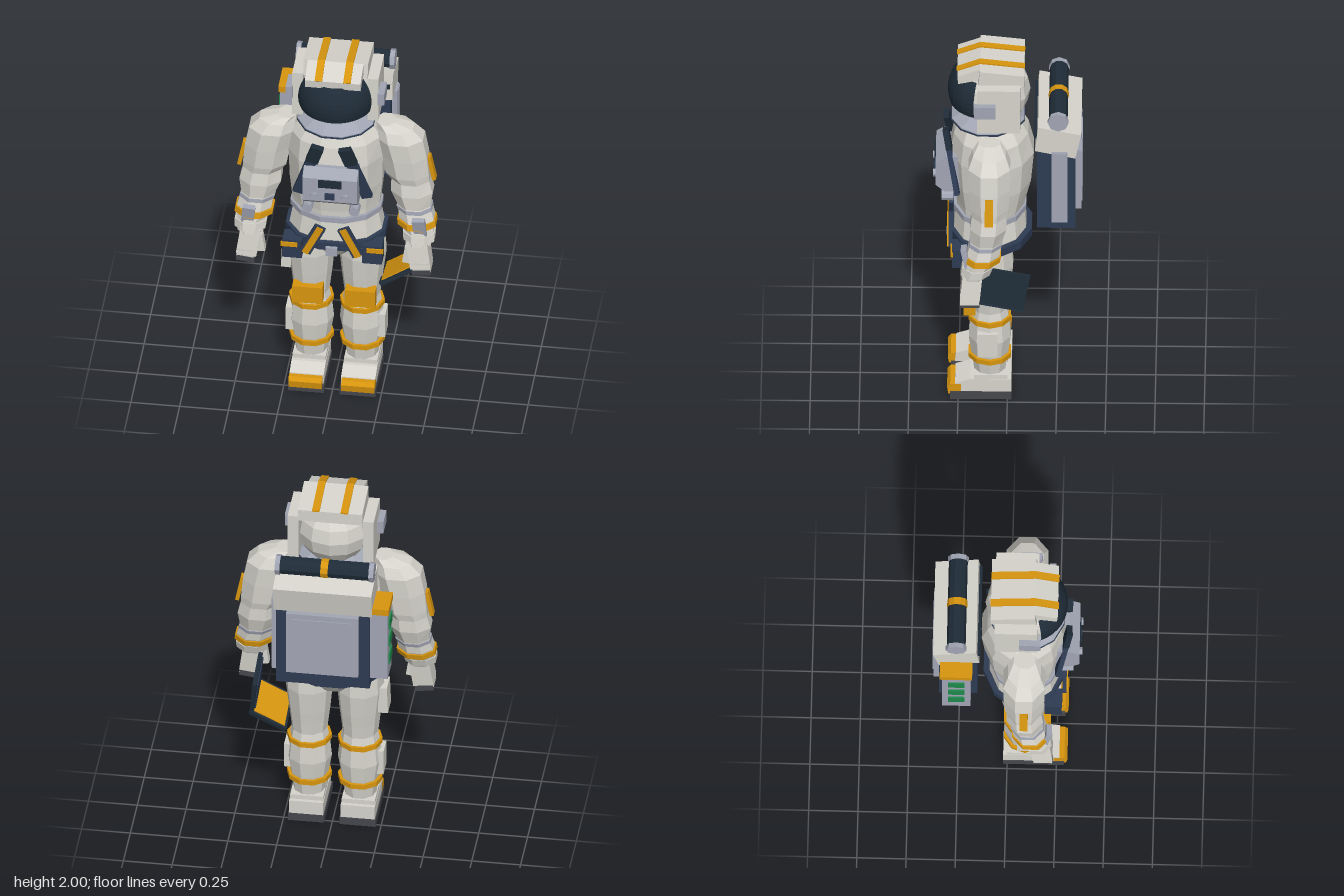
import * as THREE from 'three';

const mat = (name, color) => Object.assign(new THREE.MeshStandardMaterial({ color }), { name });

export function createModel() {
  const white = mat('suit white', 0xd6d4cc), gold = mat('gold', 0xd8960f);
  const navy = mat('navy', 0x2d3b53), dark = mat('dark glass', 0x1f2c38);
  const grey = mat('blue grey', 0xa2a6b4), sole = mat('sole grey', 0x45474c);
  const green = mat('green', 0x1f8a4c);
  const model = new THREE.Group();
  model.name = 'astronaut';

  const add = (name, geo, m, parent = model) => {
    const mesh = new THREE.Mesh(geo, m);
    mesh.name = name;
    parent.add(mesh);
    return mesh;
  };
  const flat = (geo) => {
    const g = geo.index ? geo.toNonIndexed() : geo;
    g.computeVertexNormals();
    return g;
  };
  const box = (name, m, [w, h, d], [x, y, z], [rx, ry, rz] = [0, 0, 0], parent = model) => {
    const b = add(name, new THREE.BoxGeometry(w, h, d), m, parent);
    b.position.set(x, y, z);
    b.rotation.set(rx, ry, rz);
    return b;
  };
  // Faceted body through sections [x, y, z, rx, rz], listed from bottom to top
  const loft = (name, m, sections, n = 10, s = 1) => {
    const pos = [], idx = [];
    sections.forEach(([x, y, z, rx, rz]) => {
      for (let j = 0; j < n; j++) {
        const a = ((j + 0.5) / n) * Math.PI * 2;
        pos.push(x * s + rx * Math.sin(a), y, z + rz * Math.cos(a));
      }
    });
    const top = sections.length - 1;
    for (const i of [0, top]) pos.push(sections[i][0] * s, sections[i][1], sections[i][2]);
    const c = n * sections.length;
    for (let j = 0; j < n; j++) {
      const k = (j + 1) % n;
      for (let i = 0; i < top; i++) {
        const a = i * n + j, b = i * n + k;
        idx.push(a, b, b + n, a, b + n, a + n);
      }
      idx.push(c, k, j, c + 1, top * n + j, top * n + k);
    }
    const g = new THREE.BufferGeometry();
    g.setAttribute('position', new THREE.Float32BufferAttribute(pos, 3));
    g.setIndex(idx);
    return add(name, flat(g), m);
  };
  // Side profile of [z, y] points, swept across x and centred on x
  const sweep = (name, m, pts, width, x = 0) => {
    const shape = new THREE.Shape(pts.map(([z, y]) => new THREE.Vector2(z, y)));
    const g = new THREE.ExtrudeGeometry(shape, { depth: width, bevelEnabled: false });
    g.rotateY(-Math.PI / 2).translate(x + width / 2, 0, 0);
    return add(name, g, m);
  };
  const rod = (name, m, r, len, [x, y, z], axis, n = 8) => {
    const g = new THREE.CylinderGeometry(r, r, len, n);
    if (axis === 'x') g.rotateZ(Math.PI / 2);
    if (axis === 'z') g.rotateX(Math.PI / 2);
    add(name, flat(g), m).position.set(x, y, z);
  };

  // Torso, waist and hips
  loft('torso', white, [[0, 1.06, .09, .225, .17], [0, 1.13, .085, .232, .18], [0, 1.25, .08, .245, .205],
    [0, 1.42, .08, .25, .22], [0, 1.54, .085, .24, .195], [0, 1.61, .09, .19, .16]], 12);
  loft('waistRing', grey, [[0, 1.07, .09, .24, .19], [0, 1.1, .09, .24, .19]], 12);
  loft('hips', white, [[0, .8, .09, .1, .09], [0, .88, .09, .2, .15], [0, .96, .09, .245, .19], [0, 1.07, .09, .225, .18]], 12);
  loft('belt', navy, [[0, .91, .085, .265, .215], [0, .955, .085, .265, .215]], 12);
  box('buckle', grey, [.06, .05, .02], [0, .91, .3]);

  // Neck ring and helmet
  loft('neckRing', grey, [[0, 1.595, .1, .17, .165], [0, 1.61, .1, .2, .19], [0, 1.625, .1, .2, .19], [0, 1.66, .09, .14, .14]], 12);
  loft('neckSeal', navy, [[0, 1.612, .1, .203, .194], [0, 1.62, .1, .203, .194]], 12);
  const shell = flat(new THREE.SphereGeometry(.19, 12, 8));
  add('helmet', shell, white).position.set(0, 1.78, .075);
  const glass = new THREE.SphereGeometry(.2, 14, 7, Math.PI * .11, Math.PI * .78, .87, 1.03);
  add('visor', flat(glass), dark).position.set(0, 1.78, .105);
  dark.side = THREE.DoubleSide;
  sweep('helmetCap', white, [[-.085, 1.9], [.15, 1.9], [.14, 1.99], [-.085, 1.965]], .33);
  sweep('helmetBrow', white, [[.12, 1.93], [.25, 1.9], [.255, 1.945], [.14, 1.99], [.12, 1.985]], .285);
  for (const s of [1, -1]) {
    const x = s * .073;
    sweep('capStripe', gold, [[-.087, 1.963], [.14, 1.99], [.14, 1.998], [-.087, 1.972]], .038, x);
    sweep('browStripe', gold, [[.14, 1.99], [.254, 1.943], [.26, 1.95], [.14, 1.998]], .038, x);
    box('helmetPad', white, [.055, .26, .22], [s * .193, 1.78, .045]);
    box('earBox', grey, [.035, .07, .11], [s * .235, 1.795, .115]);
  }

  // Chest unit with screens and knobs
  sweep('chestUnit', grey, [[.24, 1.23], [.32, 1.23], [.365, 1.27], [.365, 1.41], [.31, 1.445], [.24, 1.445]], .28);
  box('chestScreen', dark, [.12, .045, .008], [0, 1.382, .368]);
  box('chestDisplay', navy, [.05, .035, .012], [0, 1.307, .37]);

  for (const s of [1, -1]) {
    rod('chestDial', grey, .02, .02, [s * .08, 1.305, .37], 'z');
    rod('hoseKnob', grey, .028, .06, [s * .12, 1.195, .305], 'z');

    // Harness, belt pouches and abdomen straps
    box('shoulderStrap', navy, [.055, .35, .025], [s * .125, 1.405, .285], [.18, 0, s * .31]);
    box('strapPad', dark, [.065, .11, .03], [s * .085, 1.52, .305], [.18, 0, s * .31]);
    box('beltPouch', navy, [.1, .11, .09], [s * .205, .89, .235]);
    box('pouchFlap', gold, [.085, .025, .012], [s * .22, .92, .282]);
    box('abdomenStrap', navy, [.06, .18, .02], [s * .097, .97, .29], [0, 0, s * .45]);
    box('abdomenStripe', gold, [.034, .18, .01], [s * .097, .97, .302], [0, 0, s * .45]);

    // Arm
    loft('arm', white, [[.43, .92, .17, .07, .065], [.43, .99, .145, .08, .08], [.415, 1.05, .12, .095, .09],
      [.4, 1.12, .105, .09, .085], [.388, 1.2, .095, .115, .1], [.38, 1.27, .09, .105, .095], [.365, 1.31, .09, .12, .105],
      [.35, 1.42, .09, .125, .112], [.325, 1.53, .09, .13, .115], [.3, 1.585, .09, .1, .09], [.25, 1.615, .09, .05, .06]], 8, s);
    loft('armBand', gold, [[.418, 1.015, .128, .105, .1], [.414, 1.045, .122, .105, .1]], 8, s)
      .name = 'forearmBand';
    loft('wristCuff', white, [[.432, .94, .16, .085, .08], [.43, .985, .148, .088, .084]], 8, s);
    loft('elbowRing', grey, [[.405, 1.095, .11, .094, .088], [.4, 1.115, .106, .096, .09]], 8, s);
    box('wristPanel', grey, [.065, .14, .03], [s * .44, 1.02, .205], [.2, 0, s * .1]);
    box('armPlate', gold, [.02, .145, .042], [s * .485, 1.34, .09], [0, 0, s * .2]);

    // Gloved hand
    box('palm', white, [.105, .16, .1], [s * .435, .87, .18], [-.1, 0, s * .14]);
    box('fingers', white, [.09, .06, .095], [s * .45, .8, .188], [0, 0, s * .12]);
    box('fingertips', sole, [.095, .03, .1], [s * .45, .77, .188], [0, 0, s * .12]);
    box('thumb', white, [.045, .1, .045], [s * .38, .865, .2], [0, 0, s * -.15]);

    // Leg
    loft('leg', white, [[.13, .12, .09, .08, .08], [.13, .2, .09, .09, .09], [.13, .26, .09, .1, .1], [.13, .35, .09, .115, .112],
      [.13, .45, .09, .105, .105], [.13, .52, .09, .092, .092], [.13, .59, .09, .1, .1], [.13, .66, .09, .108, .11],
      [.132, .79, .09, .122, .125], [.132, .9, .09, .118, .12]], 10, s);
    for (const y of [.235, .465]) loft('legBand', gold, [[.13, y - .013, .09, .115, .113], [.13, y + .013, .09, .115, .113]], 10, s);
    box('kneePad', gold, [.155, .1, .06], [s * .135, .56, .192]);
    box('shinPad', white, [.04, .14, .1], [s * .235, .35, .1]);

    // Boot
    box('bootSole', sole, [.185, .045, .31], [s * .132, .0225, .135]);
    sweep('boot', white, [[-.02, .045], [.27, .045], [.265, .095], [.19, .12], [-.02, .12]], .175, s * .132);
    box('bootCuff', white, [.17, .04, .17], [s * .132, .125, .085]);
    sweep('toeCap', gold, [[.235, .03], [.3, .03], [.306, .07], [.29, .09], [.235, .09]], .17, s * .135);
  }
  box('thighPocket', white, [.05, .15, .11], [-.252, .745, .09], [0, 0, -.04]);

  // Backpack
  box('packBody', navy, [.48, .47, .195], [0, 1.315, -.2475]);
  sweep('packTop', white, [[-.345, 1.52], [-.14, 1.565], [-.156, 1.71], [-.375, 1.665]], .505);
  box('packSlot', dark, [.48, .02, .02], [0, 1.645, -.145]);
  box('packBackPanel', grey, [.37, .36, .03], [0, 1.342, -.36]);
  box('packBackInset', grey, [.31, .3, .008], [0, 1.342, -.376]);
  box('packSideRib', grey, [.03, .43, .08], [.25, 1.345, -.265]);
  box('packSideRidge', grey, [.012, .42, .055], [.264, 1.345, -.27]);
  box('lightBox', grey, [.09, .4, .145], [-.285, 1.335, -.255]);
  box('lightBoxCap', gold, [.085, .035, .165], [-.294, 1.55, -.257]);
  for (const y of [1.24, 1.345, 1.45]) box('statusLight', green, [.008, .06, .085], [-.333, y, -.255]);
  rod('packTube', dark, .048, .47, [0, 1.74, -.258], 'x', 10);
  rod('tubeBand', gold, .051, .038, [0, 1.74, -.258], 'x', 10);
  for (const s of [1, -1]) rod('tubeCap', grey, .053, .025, [s * .24, 1.74, -.258], 'x');

  // Open hinged case held in the left hand
  const flap = new THREE.Group();
  flap.name = 'openCase';
  flap.position.set(.405, .715, .035);
  flap.rotation.x = -.2;
  model.add(flap);
  box('caseLid', dark, [.022, .2, .235], [-.012, .095, 0], [0, 0, .1], flap);
  box('caseLidLining', navy, [.006, .17, .2], [-.027, .095, 0], [0, 0, .1], flap);
  const base = new THREE.Group();
  base.name = 'caseBase';
  base.rotation.z = .54;
  flap.add(base);
  box('caseBaseShell', dark, [.21, .022, .25], [-.1, -.005, 0], [0, 0, 0], base);
  box('caseBaseLining', gold, [.18, .006, .22], [-.1, .008, 0], [0, 0, 0], base);
  return model;
}
